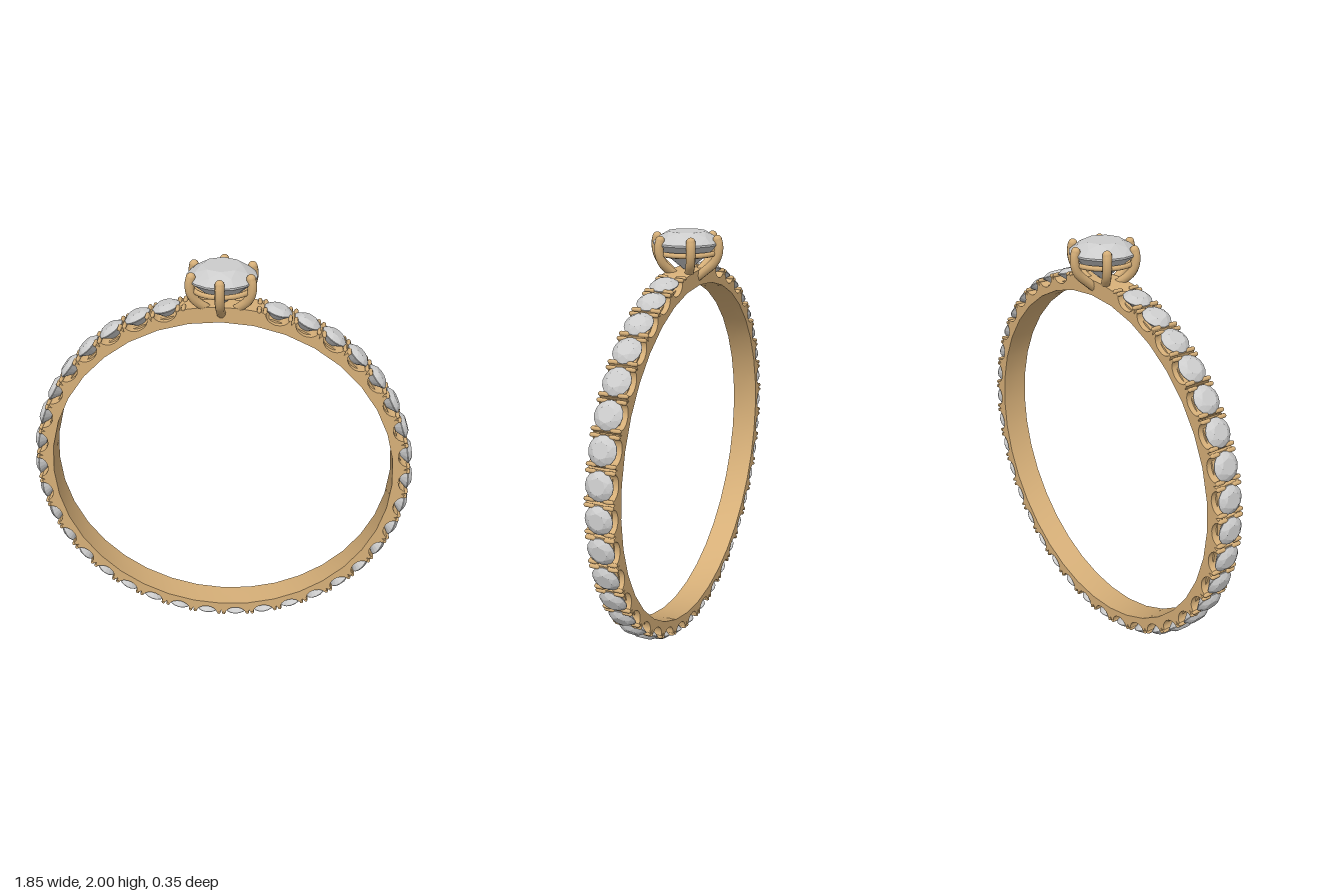
import * as THREE from 'three';
import { mergeGeometries, toCreasedNormals } from 'three/addons/utils/BufferGeometryUtils.js';
import { ConvexGeometry } from 'three/addons/geometries/ConvexGeometry.js';

const CY = 0.928, INNER = 0.83, OUTER = 0.9, HALF_WIDTH = 0.065;
const rad = THREE.MathUtils.degToRad;
// Point at a given radius, angle measured in degrees from the bottom of the band
const polar = (r, deg) => new THREE.Vector2(r * Math.sin(rad(deg)), -r * Math.cos(rad(deg)));

// Faceted round brilliant: girdle at y = 0, table up
function brilliant(radius) {
  const pts = [new THREE.Vector3(0, -0.86 * radius, 0)];
  const ring = (n, r, y, turn) => {
    for (let i = 0; i < n; i++) {
      const a = ((i + turn) / n) * Math.PI * 2;
      pts.push(new THREE.Vector3(Math.cos(a) * r, y, Math.sin(a) * r).multiplyScalar(radius));
    }
  };
  ring(8, 0.56, 0.33, 0);
  ring(8, 0.79, 0.2, 0.5);
  ring(16, 1, 0.02, 0);
  ring(16, 1, -0.03, 0);
  ring(8, 0.25, -0.67, 0.5);
  return new ConvexGeometry(pts);
}

// Flat ring with a round hole, extruded and centred on z
function ringSolid(outline, depth) {
  const shape = new THREE.Shape(outline);
  const hole = [];
  for (let i = 0; i < 36; i++) hole.push(polar(INNER, -i * 10));
  shape.holes.push(new THREE.Path(hole));
  const geo = new THREE.ExtrudeGeometry(shape, { depth, bevelEnabled: false, steps: 1 });
  geo.translate(0, 0, -depth / 2);
  return toCreasedNormals(geo, 0.5);
}

export function createModel() {
  const model = new THREE.Group();
  model.name = 'ring';
  const gold = new THREE.MeshStandardMaterial({ color: 0xd6af78 });
  const gem = new THREE.MeshStandardMaterial({ color: 0xcccccc, flatShading: true });
  const add = (name, geo, mat, parent = model) => {
    const mesh = new THREE.Mesh(geo, mat);
    mesh.name = name;
    parent.add(mesh);
    return mesh;
  };

  // Stone angles, mirrored about the bottom
  const half = [];
  for (let k = 0; k < 18; k++) half.push(5 + 9.79 * k - 0.026 * k * k);
  const angles = [...half.map((a) => -a).reverse(), ...half];
  const last = half[17];

  // Band outline: a scallop at each stone and a small slit on each bridge
  const outline = [];
  const bridges = [-last - 4.6];
  angles.forEach((a, i) => {
    for (let t = 0; t <= 8; t++) {
      const p = (Math.PI * t) / 8;
      outline.push(polar(OUTER - 0.042 * Math.sin(p), a - 3.5 * Math.cos(p)));
    }
    const mid = i < angles.length - 1 ? (a + angles[i + 1]) / 2 : last + 4.6;
    bridges.push(mid);
    if (i < angles.length - 1) {
      outline.push(polar(OUTER, mid - 0.4), polar(OUTER - 0.02, mid), polar(OUTER, mid + 0.4));
    }
  });
  for (let a = last + 5; a < 360 - last - 4; a += 2.5) outline.push(polar(OUTER, a));

  const band = new THREE.Group();
  band.name = 'band';
  band.position.y = CY;
  model.add(band);
  add('scallopedBand', ringSolid(outline, HALF_WIDTH * 2), gold, band);

  // Inner core that backs the stones
  const core = [];
  for (let i = 0; i < 72; i++) core.push(polar(0.868, i * 5));
  add('bandCore', ringSolid(core, 0.08), gold, band);

  // Small prongs, two per side on every bridge
  const prongs = [];
  for (const b of bridges) {
    for (const d of [-0.85, 0.85]) {
      for (const z of [-0.044, 0.044]) {
        const p = polar(OUTER + 0.002, b + d);
        prongs.push(new THREE.CapsuleGeometry(0.01, 0.03, 3, 8).rotateX(Math.PI / 2).translate(p.x, p.y, z));
      }
    }
  }
  add('smallProngs', mergeGeometries(prongs), gold, band);

  // Row of small stones
  const small = brilliant(0.065);
  for (const a of angles) {
    const p = polar(0.903, a);
    const stone = add('smallStone', small, gem, band);
    stone.position.set(p.x, p.y, 0);
    stone.rotation.z = rad(a + 180);
  }

  // Head: centre stone, rail and six claws
  const head = new THREE.Group();
  head.name = 'head';
  model.add(head);
  add('centreStone', brilliant(0.155), gem, head).position.y = 1.949;

  const rail = add('headRail', new THREE.TorusGeometry(0.135, 0.012, 8, 36), gold, head);
  rail.rotation.x = Math.PI / 2;
  rail.position.y = 1.905;

  const path = new THREE.CatmullRomCurve3(
    [[0.04, 1.785], [0.085, 1.82], [0.135, 1.865], [0.153, 1.905], [0.155, 1.945], [0.149, 1.968]].map(
      ([r, y]) => new THREE.Vector3(0, y, r)
    )
  );
  const claw = mergeGeometries([
    new THREE.TubeGeometry(path, 20, 0.021, 10),
    new THREE.SphereGeometry(0.021, 12, 8).translate(0, 1.968, 0.149),
    new THREE.SphereGeometry(0.021, 12, 8).translate(0, 1.785, 0.04),
  ]);
  for (let i = 0; i < 6; i++) add('claw', claw, gold, head).rotation.y = (i * Math.PI) / 3;

  return model;
}
